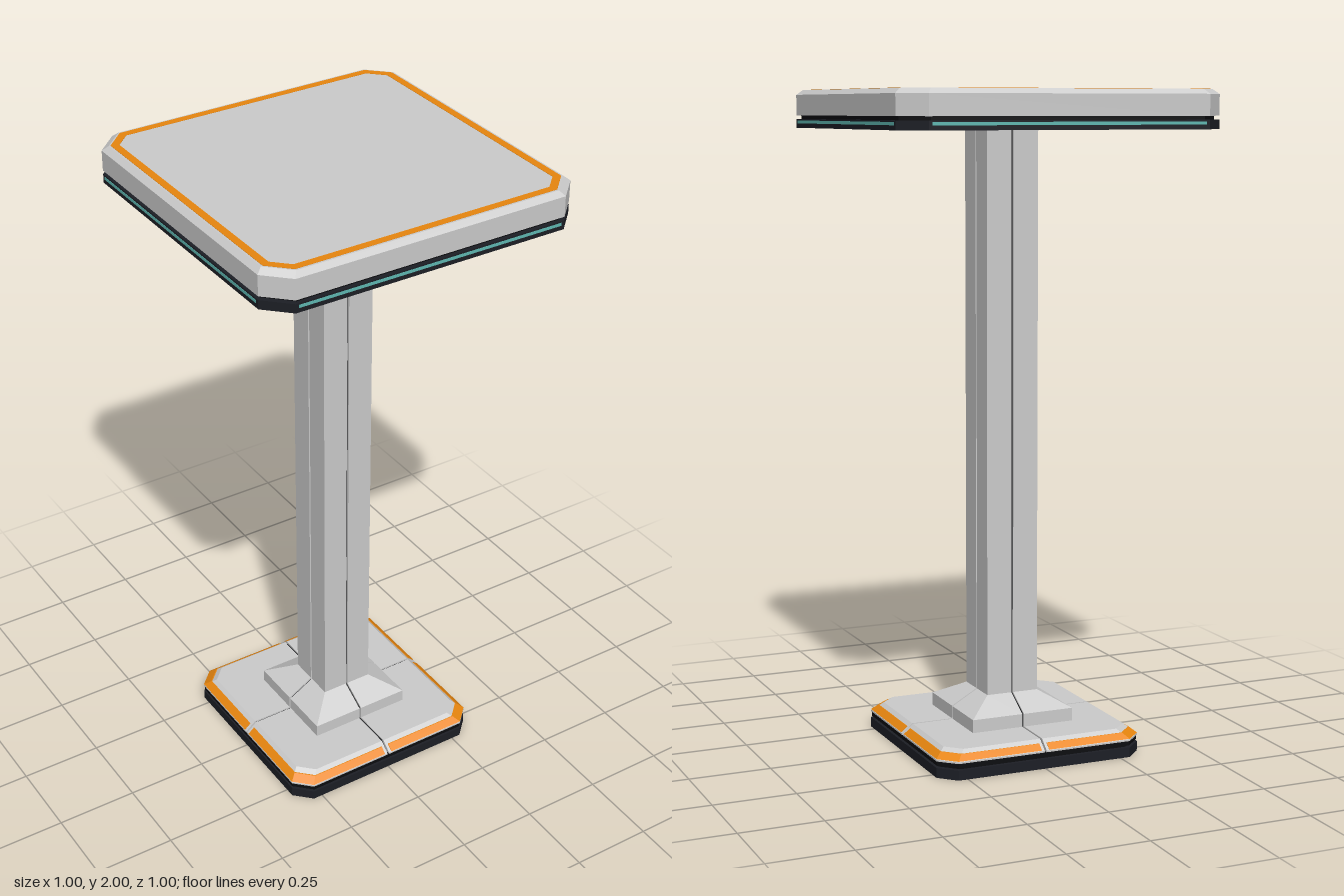
import * as THREE from 'three';

const paint = (color) => new THREE.MeshStandardMaterial({ color, flatShading: true });
const grey = paint(0xcccccc);
const dark = paint(0x1c1e25);
const black = paint(0x0b0c0f);
const orange = paint(0xe8860f);
const teal = paint(0x5fb8b2);

// Corner points of one quadrant: half width h, chamfer c
const corner = (h, c) => (c > 0 ? [[h, h - c], [h - c, h]] : [[h, h]]);

// Full chamfered square, turning from +x towards +z
function square(h, c) {
  const pts = [];
  for (let k = 0; k < 4; k++) {
    for (const [x, z] of corner(h, c)) {
      pts.push([[x, z], [-z, x], [-x, -z], [z, -x]][k]);
    }
  }
  return pts;
}

// One quadrant of that square, set back by g from both centre lines
const quadrant = (h, c, g) => [[g, g], [h, g], ...corner(h, c), [g, h]];

// Closed solid through sections [y, points]
function loft(sections) {
  const pos = [];
  const add = (...vs) => vs.forEach((v) => pos.push(...v));
  const rings = sections.map(([y, pts]) => pts.map(([x, z]) => [x, y, z]));
  const n = rings[0].length;
  for (let r = 0; r < rings.length - 1; r++) {
    for (let i = 0; i < n; i++) {
      const j = (i + 1) % n;
      const a = rings[r], b = rings[r + 1];
      add(a[i], b[i], b[j], a[i], b[j], a[j]);
    }
  }
  const bottom = rings[0], top = rings[rings.length - 1];
  for (let i = 1; i < n - 1; i++) {
    add(bottom[0], bottom[i], bottom[i + 1]);
    add(top[0], top[i + 1], top[i]);
  }
  const geo = new THREE.BufferGeometry();
  geo.setAttribute('position', new THREE.Float32BufferAttribute(pos, 3));
  geo.computeVertexNormals();
  return geo;
}

export function createModel() {
  const model = new THREE.Group();
  model.name = 'pedestalTable';

  const mesh = (name, geo, mat, parent = model) => {
    const m = new THREE.Mesh(geo, mat);
    m.name = name;
    parent.add(m);
    return m;
  };
  // Profile rows are [y, half width, chamfer]
  const slab = (name, mat, rows) =>
    mesh(name, loft(rows.map(([y, h, c]) => [y, square(h, c)])), mat);
  // Four equal quarters with a narrow seam between them
  const quarters = (name, mat, gap, rows) => {
    const group = new THREE.Group();
    group.name = name;
    const geo = loft(rows.map(([y, h, c]) => [y, quadrant(h, c, gap)]));
    for (let k = 0; k < 4; k++) {
      mesh(name + 'Quarter', geo, mat, group).rotation.y = (k * Math.PI) / 2;
    }
    model.add(group);
  };

  // Foot: dark pad, recessed band, bevelled plate in quarters
  slab('footPad', dark, [[0, 0.33, 0.05], [0.03, 0.33, 0.05]]);
  slab('footRecess', black, [[0.03, 0.318, 0.048], [0.036, 0.318, 0.048]]);
  slab('footBand', black, [[0.036, 0.328, 0.05], [0.05, 0.328, 0.05]]);
  slab('footCore', black, [[0.05, 0.315, 0.048], [0.078, 0.29, 0.044]]);
  quarters('footPlate', grey, 0.003, [[0.05, 0.33, 0.05], [0.055, 0.33, 0.05], [0.083, 0.296, 0.045]]);
  quarters('footStripe', orange, 0.012, [[0.057, 0.33, 0.05], [0.073, 0.3105, 0.047]]);

  // Collar and column, split by seams over a dark core
  slab('collarCore', black, [[0.08, 0.155, 0], [0.123, 0.155, 0], [0.168, 0.075, 0]]);
  quarters('collar', grey, 0.003, [[0.083, 0.165, 0], [0.123, 0.165, 0], [0.17, 0.083, 0]]);
  slab('columnCore', black, [[0.165, 0.076, 0], [1.89, 0.076, 0]]);
  quarters('column', grey, 0.003, [[0.17, 0.083, 0], [1.89, 0.083, 0]]);

  // Table top: dark underside, recess, pale top with bevel
  slab('topUnderside', dark, [[1.885, 0.5, 0.07], [1.912, 0.5, 0.07]]);
  slab('topRecess', black, [[1.912, 0.488, 0.068], [1.925, 0.488, 0.068]]);
  slab('tableTop', grey, [[1.923, 0.5, 0.07], [1.985, 0.5, 0.07], [1.999, 0.483, 0.065]]);

  // Light strips along the four straight edges
  const strip = new THREE.BoxGeometry(0.84, 0.009, 0.004);
  for (let k = 0; k < 4; k++) {
    const side = new THREE.Group();
    side.name = 'lightStripSide';
    side.rotation.y = (k * Math.PI) / 2;
    mesh('lightStrip', strip, teal, side).position.set(0, 1.903, 0.499);
    model.add(side);
  }

  // Inlaid border on the table top
  const toVectors = (pts) => pts.map(([x, z]) => new THREE.Vector2(x, z));
  const border = new THREE.Shape(toVectors(square(0.477, 0.06)));
  border.holes.push(new THREE.Path(toVectors(square(0.454, 0.046))));
  const inlay = new THREE.ExtrudeGeometry(border, { depth: 0.003, bevelEnabled: false });
  inlay.rotateX(-Math.PI / 2);
  mesh('borderInlay', inlay, orange).position.y = 1.997;

  return model;
}
